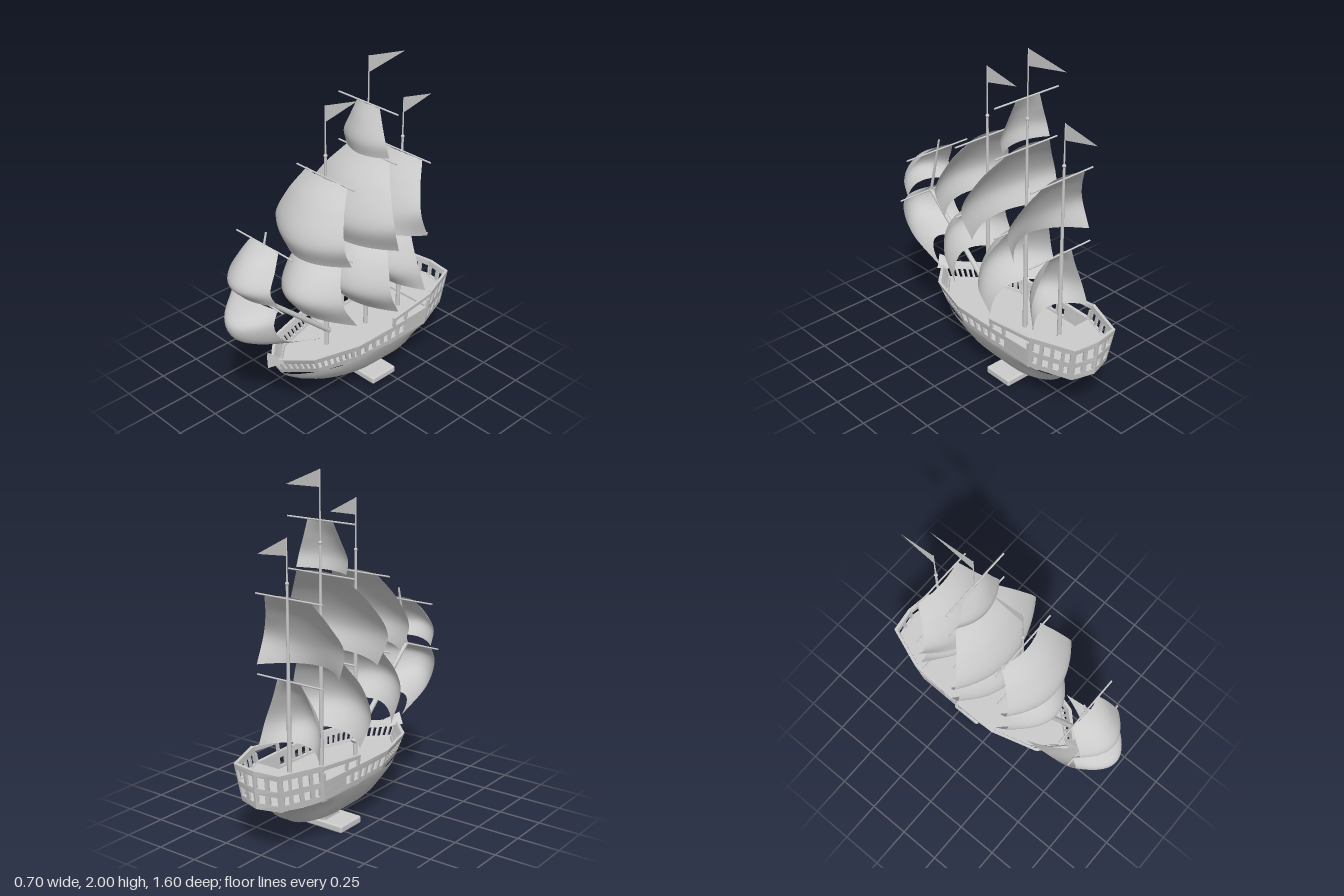
import * as THREE from 'three';
import { mergeGeometries, toCreasedNormals } from 'three/addons/utils/BufferGeometryUtils.js';
import { RoundedBoxGeometry } from 'three/addons/geometries/RoundedBoxGeometry.js';
import { ConvexGeometry } from 'three/addons/geometries/ConvexGeometry.js';

const grey = new THREE.MeshStandardMaterial({ color: 0xcccccc });
const thin = new THREE.MeshStandardMaterial({ color: 0xcccccc, side: THREE.DoubleSide });
const V = (x, y, z) => new THREE.Vector3(x, y, z);

// Half plan of the topsides from bow to stern: [x, z] at y 0.285, then [x, z] at y 0.40
const stations = [
  [0, 0.46, 0, 0.53], [0.15, 0.30, 0.17, 0.36], [0.225, 0.05, 0.25, 0.08], [0.235, -0.2, 0.25, -0.2],
  [0.23, -0.49, 0.24, -0.51], [0.135, -0.74, 0.145, -0.76], [0, -0.78, 0, -0.79],
];
const LAST = stations.length - 1;

// Point on the flared topsides, t counted in stations
function side(t, y) {
  const i = Math.min(Math.floor(t), LAST - 1);
  const s = stations[i].map((v, k) => THREE.MathUtils.lerp(v, stations[i + 1][k], t - i));
  const f = (y - 0.285) / 0.115;
  return V(s[0] + (s[2] - s[0]) * f, y, s[1] + (s[3] - s[1]) * f);
}

function inward(p, d) {
  const c = V(0, p.y, THREE.MathUtils.clamp(p.z, -0.5, 0.1));
  return p.clone().add(c.sub(p).setLength(d));
}

// Rail pieces that follow the topsides, on both sides of the ship
function bar(list, ta, tb, lo, hi, th = 0.016) {
  const at = (f, t) => (typeof f === 'function' ? f(t) : f);
  for (let a = ta; a < tb - 1e-6;) {
    const b = Math.min(tb, Math.floor(a + 1e-6) + 1);
    const outer = [side(a, at(lo, a)), side(a, at(hi, a)), side(b, at(lo, b)), side(b, at(hi, b))];
    const pts = [...outer, ...outer.map((p) => inward(p, th))];
    for (const m of [1, -1]) list.push(new ConvexGeometry(pts.map((p) => V(p.x * m, p.y, p.z))));
    a = b;
  }
}

function posts(list, t0, t1, n, w, lo, hi) {
  for (let i = 0; i <= n; i++) {
    const t = t0 + ((t1 - t0) * i) / n;
    bar(list, Math.max(t - w / 2, 0), Math.min(t + w / 2, LAST), lo, hi, 0.013);
  }
}

// Hull lofted through level waterlines: [y, stern z, bow z, half width]
function hullGeometry() {
  const levels = [
    [0.12, -0.5, 0.15, 0.13], [0.127, -0.53, 0.2, 0.155], [0.15, -0.56, 0.27, 0.172], [0.2, -0.6, 0.36, 0.195],
    [0.25, -0.68, 0.43, 0.222], [0.285, -0.78, 0.46, 0.235],
  ];
  const half = stations.map((s) => V(s[0] / 0.235, 0, (s[1] + 0.78) / 1.24));
  const loop = [...half, ...half.slice(1, -1).reverse().map((p) => V(-p.x, 0, p.z))];
  const N = 72;
  const plan = new THREE.CatmullRomCurve3(loop, true, 'centripetal').getPoints(N).slice(0, N);
  const pos = [], idx = [];
  for (const [y, z0, z1, w] of levels) for (const p of plan) pos.push(p.x * w, y, z0 + p.z * (z1 - z0));
  pos.push(0, 0.12, -0.17);
  for (let i = 0; i < N; i++) {
    const j = (i + 1) % N;
    for (let k = 0; k < levels.length - 1; k++) {
      const a = k * N + i, b = k * N + j;
      idx.push(a, b, b + N, a, b + N, a + N);
    }
    idx.push(levels.length * N, j, i);
  }
  const g = new THREE.BufferGeometry();
  g.setAttribute('position', new THREE.Float32BufferAttribute(pos, 3));
  g.setIndex(idx);
  return toCreasedNormals(g, 0.6);
}

function deckGeometry(y, t0) {
  const pts = [];
  for (let t = t0; t <= LAST; t++) pts.push(inward(side(t, y), 0.006));
  const all = [...pts, ...pts.slice().reverse().map((p) => V(-p.x, 0, p.z))];
  const shape = new THREE.Shape(all.map((p) => new THREE.Vector2(p.x, -p.z)));
  return new THREE.ExtrudeGeometry(shape, { depth: 0.012, bevelEnabled: false }).rotateX(-Math.PI / 2).translate(0, y, 0);
}

// Billowing sail; rows from head to foot: [centre z, centre y, leech z, leech y, half width]
function sailGeometry(rows) {
  const centre = new THREE.CatmullRomCurve3(rows.map((r) => V(0, r[1], r[0])));
  const leech = new THREE.CatmullRomCurve3(rows.map((r) => V(r[4], r[3], r[2])));
  const g = new THREE.PlaneGeometry(2, 1, 20, 24);
  const p = g.attributes.position;
  for (let i = 0; i < p.count; i++) {
    const u = p.getX(i), v = THREE.MathUtils.clamp(0.5 - p.getY(i), 0, 1);
    const c = centre.getPoint(v), e = leech.getPoint(v);
    const k = u * u;
    p.setXYZ(i, u * e.x, c.y + (e.y - c.y) * k, c.z + (e.z - c.z) * k);
  }
  g.computeVertexNormals();
  return g;
}

function spar(a, b, r0, r1) {
  const d = b.clone().sub(a);
  const g = new THREE.CylinderGeometry(r1, r0, d.length(), 12);
  g.applyQuaternion(new THREE.Quaternion().setFromUnitVectors(V(0, 1, 0), d.clone().normalize()));
  return g.translate(...a.clone().add(b).multiplyScalar(0.5).toArray());
}

export function createModel() {
  const ship = new THREE.Group();
  ship.name = 'sailingShip';
  const add = (name, geo, mat = grey) => {
    const m = new THREE.Mesh(geo, mat);
    m.name = name;
    ship.add(m);
  };

  // Display stand
  add('standBase', new RoundedBoxGeometry(0.38, 0.045, 0.19, 3, 0.012).translate(0, 0.0225, -0.195));
  add('standNeck', new RoundedBoxGeometry(0.13, 0.1, 0.15, 3, 0.012).translate(0, 0.08, -0.205));

  // Hull and decks
  add('hull', hullGeometry());
  add('mainDeck', deckGeometry(0.29, 0));
  add('quarterDeck', deckGeometry(0.385, 4));

  // Bulwarks, balusters and stern gallery
  const rails = [];
  bar(rails, 0, LAST, 0.278, 0.315);
  bar(rails, 0, LAST, 0.365, 0.4, 0.02);
  posts(rails, 0, 1, 7, 0.06, 0.31, 0.37);
  posts(rails, 1, 2, 7, 0.06, 0.31, 0.37);
  posts(rails, 2, 3.4, 6, 0.08, 0.31, 0.37);
  bar(rails, 3.4, 4.08, 0.31, 0.37);
  posts(rails, 4, 5, 4, 0.1, 0.31, 0.37);
  posts(rails, 5, 6, 2, 0.2, 0.31, 0.37);
  bar(rails, 3, 4, (t) => 0.437 + 0.03 * (t - 3), (t) => 0.46 + 0.032 * (t - 3));
  for (const t of [3.03, 3.35, 3.97]) posts(rails, t, t, 1, 0.06, 0.4, 0.45);
  bar(rails, 4, LAST, 0.465, 0.498, 0.02);
  posts(rails, 4.03, 5, 4, 0.08, 0.4, 0.47);
  posts(rails, 5, 6, 2, 0.16, 0.4, 0.47);
  add('railings', mergeGeometries(rails));

  // Beak at the prow
  add('prowBeak', new ConvexGeometry([V(0, 0.44, 0.555), V(0.07, 0.395, 0.49), V(-0.07, 0.395, 0.49), V(0, 0.355, 0.55), V(0, 0.38, 0.45)]));

  // Masts: [name, z, joint height, top height, flag length, bead height]
  const masts = [['foreMast', 0.1, 0.95, 1.81, 0.235, 1.52], ['mainMast', -0.22, 0.96, 2, 0.28, 1.61], ['mizzenMast', -0.5, 0.91, 1.68, 0.23, 1.44]];
  for (const [name, z, joint, top, flag, bead] of masts) {
    add(name, mergeGeometries([
      spar(V(0, 0.29, z), V(0, joint, z), 0.014, 0.012),
      spar(V(0, joint, z), V(0, bead, z), 0.01, 0.007),
      spar(V(0, bead, z), V(0, top, z), 0.005, 0.003),
      new THREE.SphereGeometry(0.011, 12, 8).translate(0, bead, z),
    ]));
    const pennant = new THREE.Shape([new THREE.Vector2(0, 0), new THREE.Vector2(0, -0.095), new THREE.Vector2(flag, -0.046)]);
    add(name + 'Flag', new THREE.ShapeGeometry(pennant).rotateY(Math.PI / 2).translate(0, top, z), thin);
  }
  add('bowsprit', spar(V(0, 0.39, 0.08), V(0, 0.865, 0.625), 0.017, 0.012));
  add('bowspritMast', spar(V(0, 0.85, 0.62), V(0, 1.22, 0.53), 0.01, 0.006));

  // Yards: [y, z]
  const yards = [[1.15, 0.545], [0.86, 0.62], [1.395, 0.105], [0.96, 0.115], [1.73, -0.215], [1.44, -0.215], [0.965, -0.21], [1.355, -0.49], [0.905, -0.49]];
  add('yards', mergeGeometries(yards.map(([y, z]) => spar(V(-0.225, y, z), V(0.225, y, z), 0.005, 0.005))));

  // Sails
  const sails = {
    bowUpperSail: [[0.56, 1.16, 0.54, 1.155, 0.11], [0.69, 1.08, 0.6, 1.07, 0.145], [0.76, 0.97, 0.655, 0.97, 0.17], [0.7, 0.89, 0.61, 0.875, 0.18]],
    bowLowerSail: [[0.65, 0.86, 0.62, 0.86, 0.18], [0.8, 0.76, 0.65, 0.77, 0.185], [0.77, 0.66, 0.58, 0.65, 0.185], [0.56, 0.565, 0.3, 0.53, 0.185]],
    foreUpperSail: [[0.13, 1.4, 0.09, 1.395, 0.16], [0.25, 1.27, 0.18, 1.26, 0.225], [0.34, 1.09, 0.225, 1.1, 0.278], [0.3, 0.965, 0.16, 0.965, 0.265]],
    foreLowerSail: [[0.14, 0.96, 0.13, 0.955, 0.16], [0.3, 0.86, 0.19, 0.84, 0.21], [0.37, 0.74, 0.2, 0.72, 0.245], [0.28, 0.6, 0.1, 0.55, 0.25]],
    mainRoyalSail: [[-0.205, 1.73, -0.22, 1.73, 0.085], [-0.16, 1.63, -0.205, 1.63, 0.125], [-0.135, 1.53, -0.195, 1.53, 0.165], [-0.15, 1.45, -0.215, 1.455, 0.17]],
    mainUpperSail: [[-0.2, 1.45, -0.225, 1.44, 0.16], [-0.06, 1.3, -0.13, 1.29, 0.27], [0.03, 1.1, -0.085, 1.13, 0.348], [-0.01, 0.965, -0.145, 0.97, 0.325]],
    mainLowerSail: [[-0.2, 0.965, -0.22, 0.96, 0.16], [-0.05, 0.85, -0.16, 0.83, 0.235], [0.02, 0.67, -0.14, 0.66, 0.282], [-0.09, 0.525, -0.22, 0.505, 0.265]],
    mizzenUpperSail: [[-0.47, 1.36, -0.495, 1.35, 0.16], [-0.36, 1.23, -0.42, 1.22, 0.22], [-0.28, 1.07, -0.375, 1.09, 0.275], [-0.25, 0.935, -0.43, 0.935, 0.28]],
    mizzenLowerSail: [[-0.48, 0.91, -0.495, 0.905, 0.08], [-0.38, 0.79, -0.475, 0.78, 0.135], [-0.325, 0.64, -0.475, 0.64, 0.19], [-0.4, 0.525, -0.51, 0.5, 0.21]],
  };
  for (const [name, rows] of Object.entries(sails)) add(name, sailGeometry(rows), thin);

  return ship;
}
